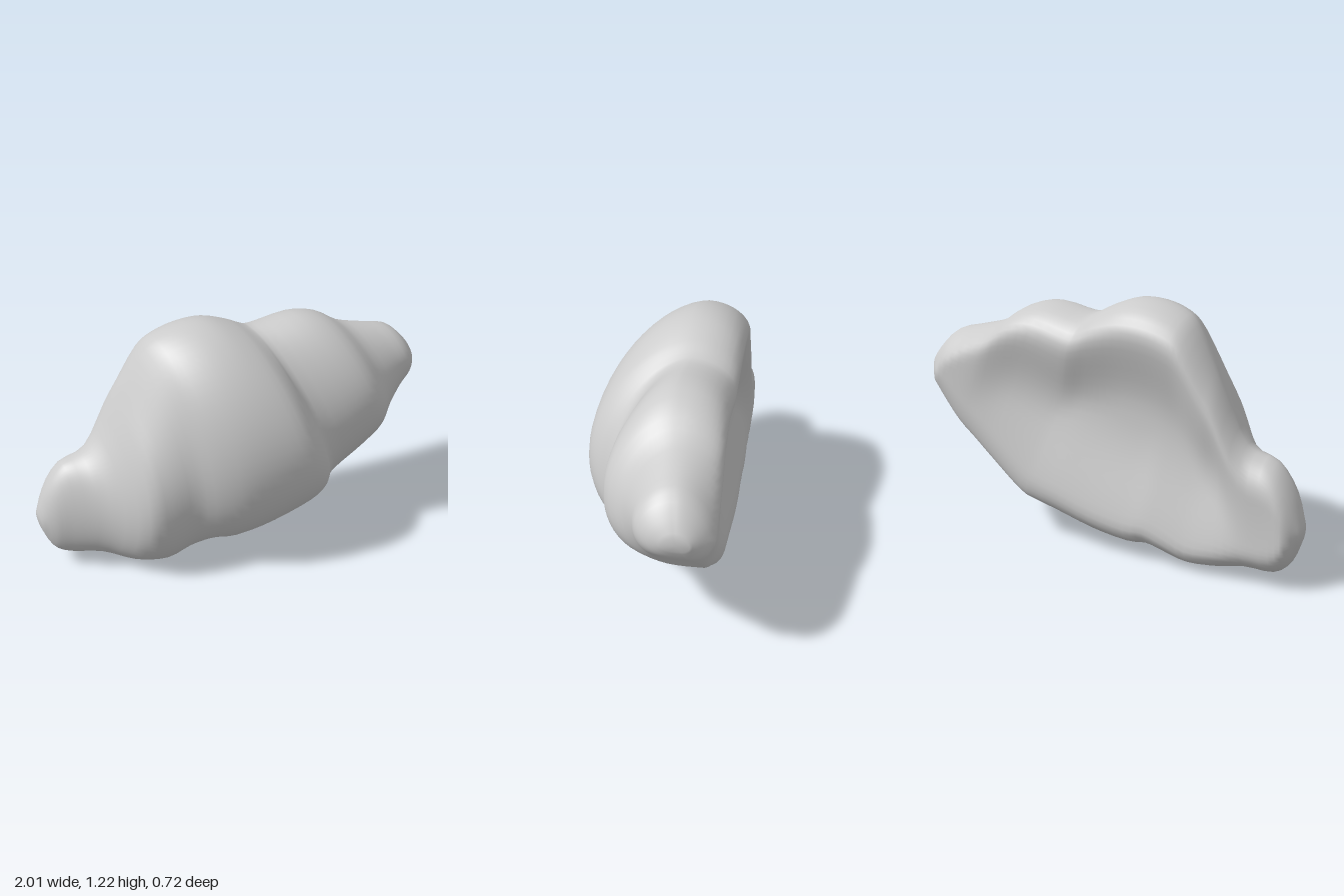
import * as THREE from 'three';

// Tilted slices: top x, top y, bottom x, bottom y, front z, z at the top, z at the bottom
const SLICES = [
  [-1.0, 0.31, -0.995, 0.23, -0.20, -0.24, -0.24],
  [-0.95, 0.45, -0.95, 0.12, -0.14, -0.22, -0.23],
  [-0.86, 0.57, -0.88, 0.065, -0.09, -0.22, -0.24],
  [-0.72, 0.63, -0.74, 0.055, 0.01, -0.22, -0.21],
  [-0.60, 0.85, -0.61, 0.02, 0.17, -0.21, -0.17],
  [-0.54, 0.96, -0.46, 0.0, 0.20, -0.19, -0.13],
  [-0.44, 1.12, -0.34, 0.03, 0.22, -0.16, -0.15],
  [-0.36, 1.18, -0.24, 0.06, 0.29, -0.14, -0.18],
  [-0.24, 1.215, -0.14, 0.055, 0.34, -0.13, -0.20],
  [-0.12, 1.215, 0.05, 0.09, 0.36, -0.13, -0.23],
  [0.0, 1.175, 0.25, 0.155, 0.35, -0.13, -0.26],
  [0.07, 1.14, 0.36, 0.19, 0.29, -0.13, -0.28],
  [0.13, 1.13, 0.45, 0.23, 0.20, -0.12, -0.29],
  [0.32, 1.16, 0.63, 0.38, 0.20, -0.11, -0.29],
  [0.47, 1.13, 0.72, 0.46, 0.18, -0.12, -0.29],
  [0.60, 1.05, 0.81, 0.53, 0.09, -0.14, -0.28],
  [0.75, 1.01, 0.89, 0.62, 0.03, -0.15, -0.27],
  [0.87, 0.98, 0.94, 0.68, 0.0, -0.16, -0.25],
  [0.95, 0.91, 0.98, 0.73, -0.06, -0.17, -0.22],
  [0.995, 0.85, 1.0, 0.78, -0.13, -0.18, -0.20],
];
const STEPS = 3, AROUND = 64;
const { smoothstep } = THREE.MathUtils;

// Smooth curve through neighbouring slices
function sliceAt(s) {
  const last = SLICES.length - 1;
  const i = Math.min(Math.floor(s), last - 1), t = s - i;
  const p = [-1, 0, 1, 2].map((k) => SLICES[THREE.MathUtils.clamp(i + k, 0, last)]);
  return p[1].map((b, k) => {
    const a = p[0][k], c = p[2][k], d = p[3][k];
    return b + 0.5 * t * (c - a + t * (2 * a - 5 * b + 4 * c - d + t * (3 * (b - c) + d - a)));
  });
}

// Quarter-round edge: 0 at the rim, 1 from the given radius inwards
const roundEdge = (d, radius) => Math.sqrt(1 - Math.max(0, 1 - d / radius) ** 2);

// One closed ring: round rolled front, back with rolled edges and a hollow between
function ring([xt, yt, xb, yb, zf, zt, zb]) {
  const height = yt - yb;
  const full = smoothstep(height, 0.3, 0.9);
  const right = smoothstep(xt, -0.1, 0.4);
  const points = [];
  for (let j = 0; j < AROUND; j++) {
    const a = (j / AROUND) * Math.PI * 2;
    const c = Math.cos(a), sine = Math.sin(a);
    // The belly hangs a little low
    const u = c > 0 ? sine - 0.09 * full * c * c : sine;
    const h = (u + 1) / 2;
    let x = xb + (xt - xb) * h;
    const rim = zb + (zt - zb) * h;
    let z;
    if (c >= 0) {
      // Leaner above, fuller below towards the right-hand rolls
      const bulge = c ** (sine > 0 ? 1 + 0.1 * full : 0.95 - 0.25 * right);
      z = rim + (zf - rim) * bulge;
      x += 0.11 * Math.max(0, zf - rim) * c;
    } else {
      const down = (1 - h) * height, up = h * height;
      const deepest = -0.36 + 0.02 * smoothstep(xt, -0.3, 0.4);
      const back = Math.max(deepest, rim - height * 0.3 - 0.03);
      const edge = roundEdge(down, Math.min(0.17, height / 2)) * roundEdge(up, Math.min(0.12, height / 2));
      const hollow = 0.1 * full * smoothstep(down, 0.08, 0.5) * smoothstep(up, 0.0, 0.6);
      z = rim + (back - rim) * edge + hollow;
    }
    points.push(new THREE.Vector3(x, yb + height * h, z));
  }
  return points;
}

function pastryGeometry() {
  const count = (SLICES.length - 1) * STEPS + 1;
  const rings = Array.from({ length: count }, (_, i) => ring(sliceAt(i / STEPS)));
  const points = rings.flat();
  const index = [];
  for (let i = 0; i < count - 1; i++) {
    for (let j = 0; j < AROUND; j++) {
      const k = (j + 1) % AROUND;
      const a = i * AROUND + j, b = i * AROUND + k;
      const c = a + AROUND, d = b + AROUND;
      index.push(a, c, b, b, c, d);
    }
  }
  // Rounded end caps
  for (const [row, dx] of [[0, -0.004], [count - 1, 0.004]]) {
    const centre = new THREE.Vector3();
    rings[row].forEach((p) => centre.addScaledVector(p, 1 / AROUND));
    centre.x += dx;
    const tip = points.push(centre) - 1;
    for (let j = 0; j < AROUND; j++) {
      const a = row * AROUND + j, b = row * AROUND + ((j + 1) % AROUND);
      if (row === 0) index.push(tip, a, b);
      else index.push(tip, b, a);
    }
  }
  const geometry = new THREE.BufferGeometry().setFromPoints(points);
  geometry.setIndex(index);
  geometry.computeVertexNormals();
  return geometry;
}

export function createModel() {
  const group = new THREE.Group();
  group.name = 'croissant';
  const pastry = new THREE.Mesh(
    pastryGeometry(),
    new THREE.MeshStandardMaterial({ color: 0xcccccc })
  );
  pastry.name = 'rolledPastry';
  group.add(pastry);
  return group;
}
